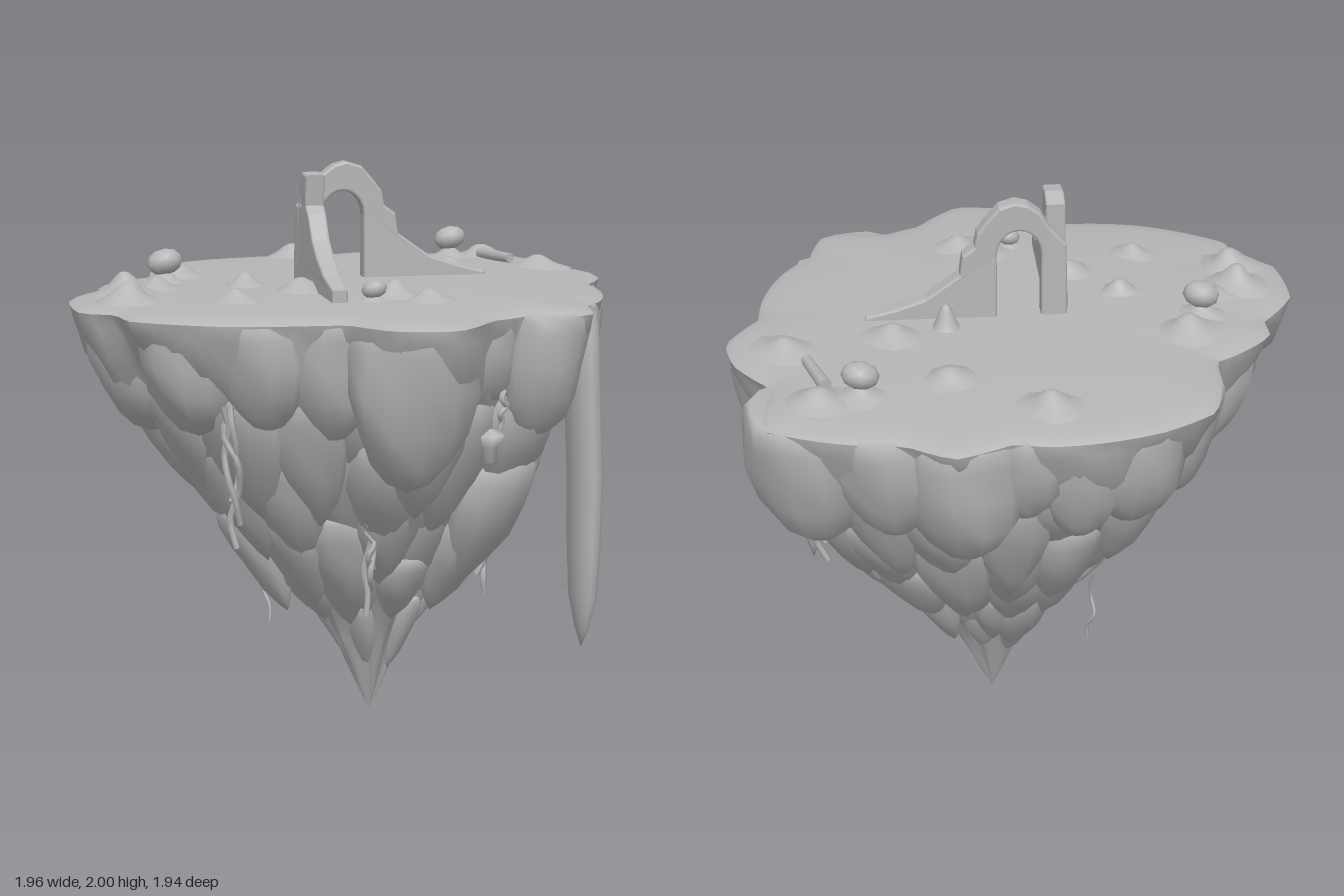
import * as THREE from 'three';
import { mergeVertices, mergeGeometries } from 'three/addons/utils/BufferGeometryUtils.js';

const stone = new THREE.MeshStandardMaterial({ color: 0xb6b6b6 });
stone.name = 'grey stone';

// Rim of the island as x, z corners
const RIM = [
  [0.27, -0.98], [0.42, -0.88], [0.58, -0.86], [0.86, -0.74], [0.82, -0.47], [0.95, -0.29], [0.98, -0.13],
  [0.87, 0.05], [0.86, 0.2], [0.79, 0.42], [0.69, 0.56], [0.64, 0.75], [0.43, 0.72], [0.29, 0.79],
  [0.13, 0.97], [-0.07, 0.93], [-0.18, 0.77], [-0.31, 0.76], [-0.55, 0.72], [-0.84, 0.54], [-0.86, 0.4],
  [-0.97, 0.34], [-0.98, 0.05], [-0.85, -0.13], [-0.85, -0.24], [-0.63, -0.42], [-0.57, -0.76],
  [-0.39, -0.87], [-0.02, -0.93], [0.08, -0.9],
].map(([x, z]) => ({ a: Math.atan2(z, x), r: Math.hypot(x, z) })).sort((p, q) => p.a - q.a);

let seed = 7;
const rand = (lo, hi) => {
  seed = (seed * 16807) % 2147483647;
  return lo + (hi - lo) * (seed / 2147483647);
};

function rimRadius(angle) {
  const a = Math.atan2(Math.sin(angle), Math.cos(angle));
  let i = RIM.findIndex((p) => p.a > a);
  if (i < 0) i = 0;
  const q = RIM[i], p = RIM[(i + RIM.length - 1) % RIM.length];
  const wrap = (v) => (v + Math.PI * 4) % (Math.PI * 2);
  const t = wrap(a - p.a) / wrap(q.a - p.a);
  return p.r + (q.r - p.r) * t;
}

// The axis drifts sideways below the rim
const axisX = (y) => 0.08 * Math.min(1, Math.max(0, 1.5 - y));

// Skin over rings given as [share of the rim radius, height]
function loft(rings) {
  const n = 120, pos = [], idx = [];
  rings.forEach(([f, y], j) => {
    // the cliff is rough, the rim and the ground keep the outline
    const rough = 0.05 * Math.min(1, Math.max(0, (1.54 - y) * 5));
    for (let i = 0; i < n; i++) {
      const a = (i / n) * Math.PI * 2;
      const r = f * rimRadius(a) * (1 + rough * Math.sin(a * 13 + y * 9) * Math.sin(y * 17 + a * 5));
      pos.push(axisX(y) + r * Math.cos(a), y, r * Math.sin(a));
      if (j < rings.length - 1) {
        const p = j * n + i, q = j * n + (i + 1) % n;
        idx.push(p, q, p + n, q, q + n, p + n);
      }
    }
  });
  const g = new THREE.BufferGeometry();
  g.setAttribute('position', new THREE.Float32BufferAttribute(pos, 3));
  g.setIndex(idx);
  g.computeVertexNormals();
  return g;
}

// Move the points of a geometry by a rule
function movePoints(g, rule) {
  const p = g.attributes.position, v = new THREE.Vector3();
  for (let i = 0; i < p.count; i++) {
    rule(v.fromBufferAttribute(p, i));
    p.setXYZ(i, v.x, v.y, v.z);
  }
  g.computeVertexNormals();
  return g;
}

// The same with welded, smooth points
function reshape(geometry, rule) {
  geometry.deleteAttribute('uv');
  geometry.deleteAttribute('normal');
  return movePoints(mergeVertices(geometry, 1e-4), rule);
}

const lathe = (pts, n) => new THREE.LatheGeometry(pts.map(([r, y]) => new THREE.Vector2(r, y)), n);

const BLUNT = [[0, 0], [0.36, 0.06], [0.66, 0.17], [0.9, 0.36], [1, 0.6], [1, 0.85], [0.95, 0.96], [0.85, 1], [0, 1]];
const POINTED = [[0, 0], [0.25, 0.08], [0.52, 0.2], [0.8, 0.38], [0.97, 0.58], [1, 0.78], [0.88, 0.92], [0.6, 0.99], [0, 1]];

// Hanging rock leaning in to the axis
function hangingRock(profile, angle, outer, top, bottom, width, lean) {
  const s = rand(0, 6);
  const g = reshape(lathe(profile, 12), (v) => {
    const k = 0.95 + 0.1 * Math.sin(v.x * 3 + s + v.y * 6) * Math.cos(v.z * 4 - s);
    const h = v.y * (top - bottom);
    v.set(v.x * k * width - lean * (top - bottom - h), bottom + h, v.z * k * width * 1.15);
  });
  g.rotateY(-angle);
  const r = outer - width;
  return g.translate(axisX((top + bottom) / 2) + r * Math.cos(angle), 0, r * Math.sin(angle));
}

// Upright slab, wider at its foot and thinner towards its far low end
function wall(points, hole) {
  const shape = new THREE.Shape(points.map(([x, y]) => new THREE.Vector2(x, y)));
  if (hole) shape.holes.push(new THREE.Path(hole.map(([x, y]) => new THREE.Vector2(x, y))));
  const slab = new THREE.ExtrudeGeometry(shape, {
    depth: 0.05, bevelEnabled: true, bevelSize: 0.008, bevelThickness: 0.01, bevelSegments: 2,
  });
  return movePoints(slab, (v) => {
    const foot = 1.15 - 0.2 * Math.min(1, Math.max(0, (v.y - 1.57) / 0.2));
    v.z = 0.025 + (v.z - 0.025) * foot * (1 - 0.3 * Math.max(0, v.x - 0.15) / 0.35);
  });
}

// Soft mound of earth
const mound = (x, z, h, w) =>
  reshape(lathe([[1, -0.15], [0.72, 0.08], [0.48, 0.35], [0.28, 0.75], [0.12, 0.97], [0, 1]], 10), (v) => {
    const k = w * (1 + 0.18 * Math.sin(v.x * 3 + x * 20) * Math.cos(v.z * 3 + z * 20));
    v.set(x + v.x * k, 1.585 + v.y * h, z + v.z * k);
  });

function tube(points, radius) {
  const curve = new THREE.CatmullRomCurve3(points.map((p) => new THREE.Vector3(...p)));
  return new THREE.TubeGeometry(curve, 14, radius, 5);
}

export function createModel() {
  const model = new THREE.Group();
  model.name = 'floatingIsland';
  const add = (name, geometry) => {
    const mesh = new THREE.Mesh(geometry, stone);
    mesh.name = name;
    model.add(mesh);
    return mesh;
  };

  // Island top and tapering core
  add('ground', loft([[0, 1.592], [0.25, 1.592], [0.5, 1.59], [0.75, 1.583], [0.9, 1.573], [0.97, 1.565], [1, 1.55]]));
  add('rockCore', loft([[1, 1.55], [0.985, 1.5], [0.93, 1.38], [0.85, 1.26], [0.76, 1.16], [0.65, 1.0], [0.57, 0.9],
    [0.49, 0.8], [0.415, 0.7], [0.34, 0.6], [0.27, 0.5], [0.2, 0.4], [0.145, 0.3], [0.095, 0.2], [0.045, 0.09], [0, 0]]));

  // Big rocks under the rim: x, z of the outer edge, width, bottom
  add('rimRocks', mergeGeometries([
    [0.03, 0.96, 0.19, 0.98], [0.87, -0.74, 0.19, 1.05], [0.97, -0.2, 0.19, 1.1], [0.87, 0.14, 0.14, 1.17],
    [0.82, 0.36, 0.12, 1.2], [0.73, 0.53, 0.12, 1.15], [0.6, 0.76, 0.14, 1.12], [0.36, 0.76, 0.13, 1.22],
    [-0.27, 0.78, 0.14, 1.13], [-0.52, 0.74, 0.14, 1.18], [-0.79, 0.58, 0.16, 1.15], [-0.97, 0.2, 0.19, 1.11],
    [-0.86, -0.18, 0.14, 1.1], [-0.68, -0.4, 0.14, 1.14], [-0.6, -0.66, 0.17, 1.1], [-0.42, -0.87, 0.15, 1.13],
    [-0.2, -0.91, 0.13, 1.1], [0.03, -0.93, 0.13, 1.2], [0.27, -0.98, 0.18, 1.05], [0.55, -0.88, 0.16, 1.13],
    [0.84, -0.46, 0.14, 1.13],
  ].map(([x, z, width, bottom]) =>
    hangingRock(BLUNT, Math.atan2(z, x), Math.hypot(x, z), 1.555, bottom, width, 0.14))));

  // Lower tiers of rocks: count, top, bottom, rim share, width, lean
  [
    [21, 1.34, 0.84, 0.9, 0.14, 0.32],
    [18, 1.1, 0.64, 0.77, 0.125, 0.42],
    [15, 0.88, 0.46, 0.6, 0.105, 0.45],
    [11, 0.68, 0.36, 0.43, 0.08, 0.45],
    [6, 0.45, 0.2, 0.26, 0.05, 0.4],
  ].forEach(([count, top, bottom, share, width, lean], tier) => {
    const rocks = [];
    for (let i = 0; i < count; i++) {
      const a = ((i + tier * 0.5 + rand(-0.2, 0.2)) / count) * Math.PI * 2;
      const drop = rand(-0.05, 0.05);
      rocks.push(hangingRock(POINTED, a, rimRadius(a) * share, top + drop, bottom + drop + rand(-0.07, 0.07),
        width * rand(0.85, 1.15), lean));
    }
    add('hangingRocks' + (tier + 1), mergeGeometries(rocks));
  });

  // Waterfall: a long flattened column over the edge
  const fall = lathe([[0, 0.33], [0.4, 0.4], [0.8, 0.52], [0.93, 0.7], [1, 0.95], [1, 1.3], [0.97, 1.53], [0, 1.565]], 12);
  add('waterfall', reshape(fall, (v) => {
    const out = 0.735 - 0.03 * Math.max(0, (v.y - 0.9) / 0.6);
    v.set(out + v.x * 0.056, v.y, 0.45 + v.z * 0.1);
  }));

  // Ruined wall with its arch, and the side wall meeting it at the corner
  const arch = [[-0.17, 1.56], [-0.165, 1.84], [-0.11, 1.9], [-0.08, 1.95], [-0.04, 1.98], [0, 1.99], [0.05, 1.975],
    [0.09, 1.93], [0.12, 1.89], [0.13, 1.84], [0.17, 1.81], [0.18, 1.74], [0.25, 1.69], [0.3, 1.655], [0.4, 1.62],
    [0.5, 1.595], [0.5, 1.56], [0.07, 1.56]];
  for (let i = 0; i <= 10; i++) {
    const a = (i / 10) * Math.PI;
    arch.push([-0.013 + 0.083 * Math.cos(a), 1.81 + 0.095 * Math.sin(a)]);
  }
  arch.push([-0.096, 1.56]);
  add('archWall', wall(arch).translate(0, 0, -0.075));
  const side = wall([[-0.03, 1.56], [0.52, 1.56], [0.52, 1.62], [0.4, 1.65], [0.3, 1.7], [0.23, 1.75], [0.17, 1.83],
    [0.13, 1.86], [0.14, 1.96], [0.08, 1.965], [0.03, 1.94], [0.025, 1.66], [-0.03, 1.64]],
  [[0.04, 1.86], [0.055, 1.9], [0.07, 1.88], [0.06, 1.84]]);
  add('sideWall', side.rotateY(-Math.PI / 2).translate(-0.122, 0, 0));

  // Low mounds on the ground: x, z, height, width
  add('mounds', mergeGeometries([
    [-0.05, -0.72, 0.05, 0.12], [0.25, -0.52, 0.04, 0.13], [-0.57, -0.23, 0.055, 0.13], [-0.38, 0.08, 0.05, 0.1],
    [-0.8, 0.12, 0.07, 0.12], [-0.8, 0.28, 0.06, 0.12], [-0.47, 0.4, 0.04, 0.1], [-0.22, 0.25, 0.05, 0.13],
    [0.06, 0.44, 0.06, 0.12], [0.15, 0.53, 0.04, 0.11], [0.24, -0.15, 0.09, 0.07], [0.42, -0.2, 0.05, 0.14],
    [0.78, -0.25, 0.04, 0.12], [0.67, -0.62, 0.04, 0.12], [-0.68, 0.05, 0.04, 0.1],
    [0.54, -0.6, 0.04, 0.09], [-0.63, -0.11, 0.04, 0.09], [-0.03, 0.51, 0.02, 0.07],
  ].map((m) => mound(...m))));

  // Boulders and the fallen log
  [[0.54, -0.6, 1.655, 0.06], [-0.63, -0.11, 1.655, 0.062], [-0.03, 0.51, 1.625, 0.042]].forEach(([x, z, y, r]) => {
    add('boulder', reshape(new THREE.IcosahedronGeometry(r, 1), (v) => {
      v.set(x + v.x * 1.02, y + v.y * 0.75 + v.x * 0.1, z + v.z * 0.85);
    }));
  });
  const log = add('fallenLog', new THREE.CylinderGeometry(0.018, 0.022, 0.2, 7));
  log.position.set(0.68, 1.6, -0.46);
  log.rotation.set(Math.PI / 2, 0, -0.3);

  // Small ledge under the front rim
  add('ledge', lathe([[0, 1.04], [0.025, 1.06], [0.03, 1.11], [0.055, 1.15], [0, 1.17]], 8).translate(0.33, 0, 0.64));

  // Dangling roots: each a twisted bundle from top to bottom
  [
    [-0.54, 0.63, 1.28, 0.8, 3], [-0.03, 0.48, 0.9, 0.5, 3], [0.37, 0.68, 1.3, 1.17, 2], [0.73, -0.46, 1.3, 0.87, 3],
    [0.83, 0.14, 1.3, 1.1, 2], [0.47, 0.19, 0.8, 0.46, 2], [-0.28, -0.18, 0.6, 0.31, 1],
  ].forEach(([x, z, top, bottom, strands]) => {
    const bundle = [];
    for (let s = 0; s < strands; s++) {
      const pts = [];
      for (let i = 0; i <= 5; i++) {
        const t = i / 5;
        pts.push([x * (1 - 0.06 * t) + rand(-0.022, 0.022), top + (bottom + s * 0.08 - top) * t,
          z * (1 - 0.06 * t) + rand(-0.022, 0.022)]);
      }
      bundle.push(tube(pts, strands > 1 ? 0.011 : 0.006));
    }
    add('roots', mergeGeometries(bundle));
  });

  return model;
}
